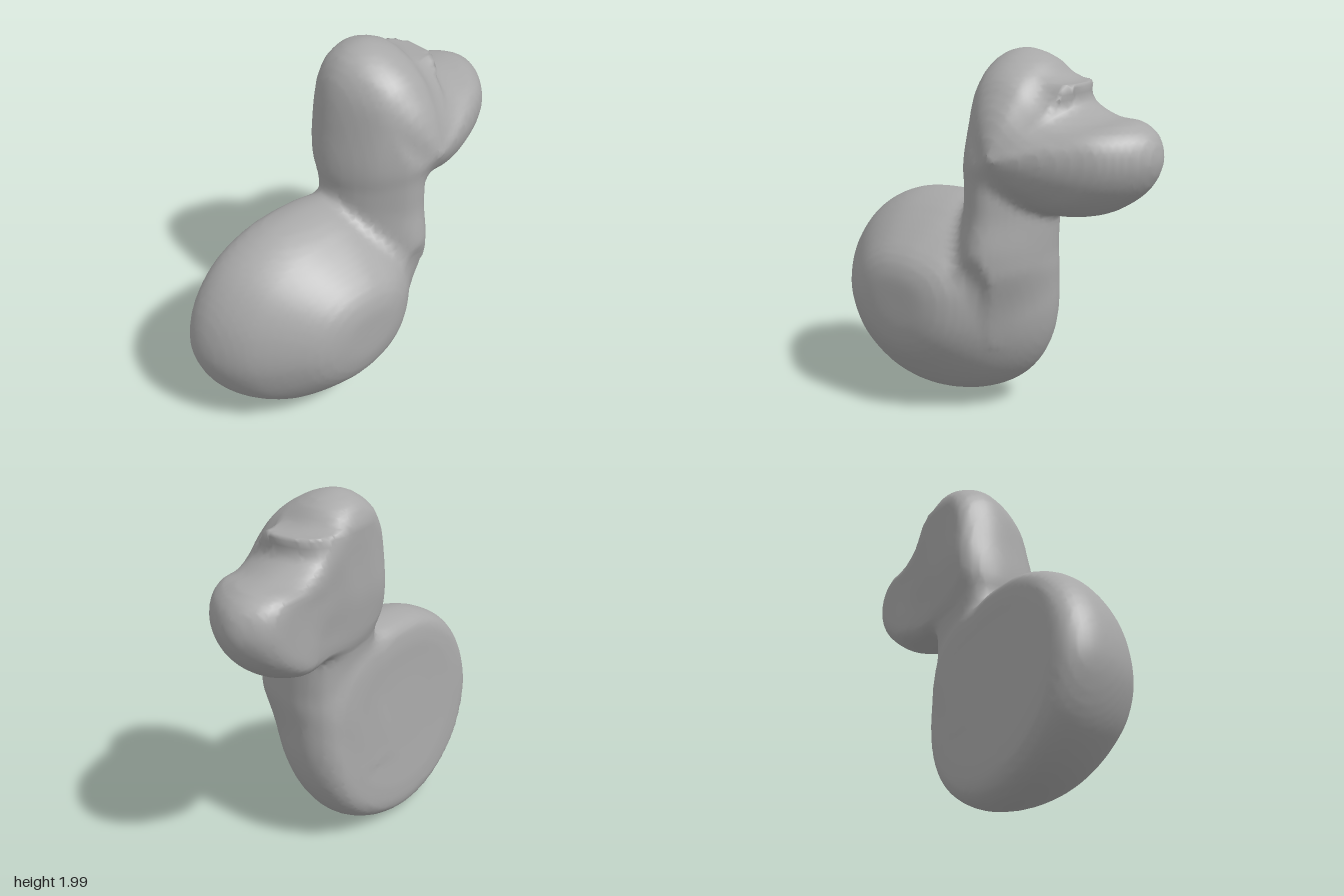
import * as THREE from 'three';

const { clamp, smoothstep } = THREE.MathUtils;

// Points along a smooth curve through [x, y] pairs
const smooth = (pts, closed, n) =>
  new THREE.CatmullRomCurve3(pts.map(([x, y]) => new THREE.Vector3(x, y, 0)), closed).getPoints(n);

// Signed distance from (x, y) to a closed polygon, negative inside
function polygonDistance(poly, x, y) {
  let best = Infinity, inside = false;
  for (let i = 0, j = poly.length - 1; i < poly.length; j = i++) {
    const a = poly[i], b = poly[j], ex = b.x - a.x, ey = b.y - a.y, wx = x - a.x, wy = y - a.y;
    const u = clamp((wx * ex + wy * ey) / (ex * ex + ey * ey || 1), 0, 1);
    best = Math.min(best, Math.hypot(wx - ex * u, wy - ey * u));
    if ((a.y > y) !== (b.y > y) && x < a.x + ex * (y - a.y) / ey) inside = !inside;
  }
  return inside ? -best : best;
}

// Cushion shape: outline shrinks towards a peak while z follows a [scale, z] profile
function pillow(outline, [px, py], size, profile) {
  const edge = smooth(outline, true, 90).map(p => ({ x: p.x - px, y: p.y - py }));
  const section = smooth(profile, false, 30).map(p => ({ x: p.x * size, y: p.y }));
  section.push({ x: -0.4, y: section[section.length - 1].y });
  section.push({ x: -0.4, y: section[0].y });
  const cross = (a, b) => a.x * b.y - a.y * b.x;
  return (x, y, z) => {
    const p = { x: x - px, y: y - py };
    let t = 0;
    for (let i = 0; i < edge.length - 1; i++) {
      const a = edge[i], b = edge[i + 1];
      if (cross(a, p) >= 0 && cross(p, b) > 0) {
        t = cross(p, { x: b.x - a.x, y: b.y - a.y }) / cross(a, b);
        break;
      }
    }
    return polygonDistance(section, t * size, z);
  };
}

// Union with a soft fillet
const blend = (a, b, k) => {
  const h = Math.max(k - Math.abs(a - b), 0) / k;
  return Math.min(a, b) - h * h * k / 4;
};

// Smooth mesh of the surface where field = 0, one vertex per crossed grid cell
function skin(field, min, max, step) {
  const [nx, ny, nz] = min.map((m, i) => Math.ceil((max[i] - m) / step) + 1);
  const id = (i, j, k) => (k * ny + j) * nx + i;
  const values = new Float32Array(nx * ny * nz);
  for (let k = 0; k < nz; k++) for (let j = 0; j < ny; j++) for (let i = 0; i < nx; i++) {
    values[id(i, j, k)] = field(min[0] + i * step, min[1] + j * step, min[2] + k * step);
  }
  const gradient = ([x, y, z], e = 0.006) => [
    (field(x + e, y, z) - field(x - e, y, z)) / (2 * e),
    (field(x, y + e, z) - field(x, y - e, z)) / (2 * e),
    (field(x, y, z + e) - field(x, y, z - e)) / (2 * e)];
  const corners = Array.from({ length: 8 }, (_, c) => [c & 1, (c >> 1) & 1, c >> 2]);
  const vertex = new Int32Array(values.length).fill(-1);
  const pos = [], idx = [];
  for (let k = 0; k < nz - 1; k++) for (let j = 0; j < ny - 1; j++) for (let i = 0; i < nx - 1; i++) {
    const v = corners.map(([a, b, c]) => values[id(i + a, j + b, k + c)]);
    const sum = [0, 0, 0];
    let count = 0;
    for (let c = 0; c < 8; c++) for (const bit of [1, 2, 4]) {
      const d = c | bit;
      if (d === c || (v[c] < 0) === (v[d] < 0)) continue;
      const u = v[c] / (v[c] - v[d]);
      for (let m = 0; m < 3; m++) sum[m] += corners[c][m] + u * (corners[d][m] - corners[c][m]);
      count++;
    }
    if (!count) continue;
    let p = [i, j, k].map((n, m) => min[m] + (n + sum[m] / count) * step);
    // Pull the vertex onto the surface
    const g = gradient(p), f = field(...p), s = f / Math.max(g[0] ** 2 + g[1] ** 2 + g[2] ** 2, 0.3);
    p = p.map((q, m) => q - clamp(g[m] * s, -step / 2, step / 2));
    vertex[id(i, j, k)] = pos.length / 3;
    pos.push(...p);
  }
  // One quad around each crossed grid edge
  const strides = [1, nx, nx * ny];
  for (let k = 1; k < nz - 1; k++) for (let j = 1; j < ny - 1; j++) for (let i = 1; i < nx - 1; i++) {
    const n = id(i, j, k);
    for (let axis = 0; axis < 3; axis++) {
      const here = values[n] < 0;
      if (here === (values[n + strides[axis]] < 0)) continue;
      const u = strides[(axis + 1) % 3], w = strides[(axis + 2) % 3];
      const [a, b, c, d] = [n - u - w, n - w, n, n - u].map(q => vertex[q]);
      if (here) idx.push(a, b, c, a, c, d);
      else idx.push(a, c, b, a, d, c);
    }
  }
  const geometry = new THREE.BufferGeometry();
  geometry.setAttribute('position', new THREE.Float32BufferAttribute(pos, 3));
  geometry.setIndex(idx);
  geometry.computeVertexNormals();
  return geometry;
}

export function createModel() {
  const group = new THREE.Group();
  const grey = new THREE.MeshStandardMaterial({ color: 0xa8a8a8 });
  grey.name = 'plain grey';
  // 1 at the back, fading to 0 towards the front
  const rear = z => clamp((0.1 - z) / 0.3, 0, 1);

  // Round body: flat back, blunt swollen front
  const bodyShape = pillow(
    [[0.388, 0.65], [0.365, 0.86], [0.22, 1.06], [-0.08, 1.17], [-0.28, 1.19], [-0.55, 1.155],
      [-0.78, 1.03], [-0.93, 0.82], [-0.98, 0.58], [-0.94, 0.4], [-0.83, 0.22], [-0.6, 0.06],
      [-0.32, 0.003], [-0.03, 0.06], [0.2, 0.2], [0.335, 0.4]],
    [-0.27, 0.68], 0.66,
    [[0, -0.34], [0.4, -0.34], [0.78, -0.343], [0.9, -0.325], [0.97, -0.27], [1, -0.18], [0.975, -0.08],
      [0.9, 0.03], [0.8, 0.12], [0.63, 0.235], [0.45, 0.33], [0.28, 0.37], [0.12, 0.377], [0, 0.377]]);
  // The back leans with x and y
  const body = (x, y, z) => bodyShape(x, y, z - (0.045 * (x + 0.3) + 0.05 * (y - 0.6)) * rear(z));

  // Head and bill: flat back, cone-like front peaking at the cheek
  const headShape = pillow(
    [[0.978, 1.5], [0.945, 1.61], [0.85, 1.675], [0.7, 1.69], [0.57, 1.745], [0.43, 1.855], [0.33, 1.955],
      [0.18, 2], [0.05, 1.96], [-0.03, 1.86], [-0.075, 1.67], [-0.09, 1.45], [-0.08, 1.3], [0.05, 1.2],
      [0.25, 1.165], [0.42, 1.16], [0.55, 1.16], [0.72, 1.205], [0.88, 1.31], [0.95, 1.4]],
    [0.28, 1.49], 0.5,
    [[0, -0.345], [0.4, -0.347], [0.7, -0.355], [0.84, -0.345], [0.94, -0.29], [1, -0.18], [0.97, -0.09],
      [0.88, 0.01], [0.75, 0.1], [0.6, 0.16], [0.45, 0.21], [0.25, 0.257], [0, 0.3]]);
  // The back of the head runs down into the neck
  const head = (x, y, z) => headShape(x, y, z
    - 0.045 * (1 - smoothstep(y, 1.15, 1.55)) * (1 - smoothstep(x, 0.4, 0.65)) * rear(z));

  // Neck: an upright column with a ridged front, fading out inside body and head
  const neckSection = smooth([[-0.1, -0.14], [-0.075, -0.24], [0.0, -0.29], [0.14, -0.297], [0.26, -0.29],
    [0.36, -0.24], [0.402, -0.12], [0.37, 0.03], [0.29, 0.17], [0.2, 0.25], [0.12, 0.245],
    [0.02, 0.16], [-0.07, 0.02]], true, 40);
  const neck = (x, y, z) => {
    const sway = 0.03 * (y - 1.1) + 0.13 * smoothstep(y, 1.4, 1.85) - 0.16 * (1 - smoothstep(y, 0.45, 0.9));
    const lean = 0.05 * smoothstep(y, 1.05, 1.5) * rear(z);
    const chest = 0.03 * (1 - smoothstep(y, 0.95, 1.2)) * (1 - rear(z));
    return Math.max(
      polygonDistance(neckSection, x - sway, z + lean - chest),
      (y + 1.5 * z - 1.83) / 1.8,
      (z - 0.28 - 0.35 * (y - 0.95)) / 1.06,
      0.48 - y, y - 1.85);
  };

  const bird = new THREE.Mesh(skin(
    (x, y, z) => blend(blend(body(x, y, z), neck(x, y, z), 0.07), head(x, y, z), 0.06),
    [-1.05, -0.07, -0.46], [1.05, 2.07, 0.46], 0.03), grey);
  bird.name = 'birdBodyNeckAndHead';
  group.add(bird);
  return group;
}
